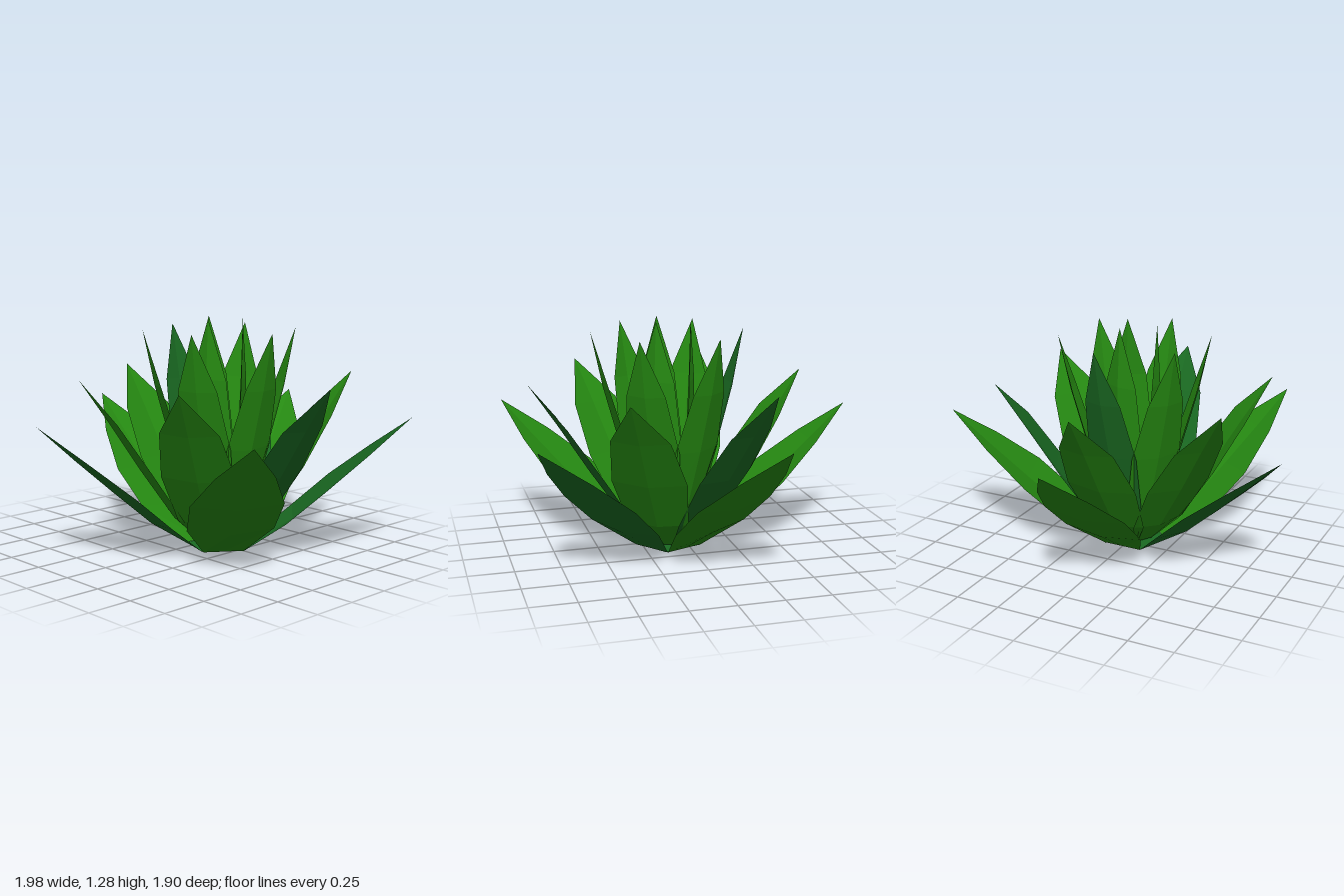
import * as THREE from 'three';

const CENTER_Z = 0.09;
const rad = THREE.MathUtils.degToRad;

// Each row: distance from the centre, height, half width. The last row is the tip.
const rings = [
  {
    name: 'outerLeaf', fold: 0.13, angles: [38.2, 110.8, 179.6, 251.2, 324.4],
    deep: [0, 3],
    rows: [[0.155, 0, 0.113], [0.41, 0.165, 0.235], [0.62, 0.35, 0.245], [0.84, 0.55, 0.15], [1.05, 0.75, 0]],
  },
  {
    name: 'middleLeaf', fold: 0.15, angles: [1.3, 61.8, 121.6, 181, 240.4, 300.8],
    deep: [0, 2],
    rows: [[0.09, 0.01, 0.06], [0.26, 0.17, 0.17], [0.45, 0.45, 0.207], [0.62, 0.72, 0.16], [0.78, 0.96, 0]],
  },
  {
    name: 'innerLeaf', fold: 0.2, angles: [-4.5, 55.5, 115.5, 175.5, 235.5, 295.5],
    deep: [3],
    rows: [[0.05, 0.02, 0.05], [0.17, 0.26, 0.13], [0.27, 0.58, 0.153], [0.36, 0.91, 0.11], [0.425, 1.22, 0]],
  },
  {
    name: 'heartLeaf', fold: 0.25, angles: [45, 165, 285],
    deep: [],
    rows: [[0.03, 0.02, 0.04], [0.1, 0.27, 0.12], [0.14, 0.6, 0.145], [0.145, 0.95, 0.11], [0.125, 1.28, 0]],
  },
];

// A thin leaf folded along its midrib, pointing towards +z
function leafGeometry(rows, fold) {
  const positions = [];
  const index = [];
  rows.forEach(([r, y, half], i) => {
    const a = rows[Math.max(i - 1, 0)];
    const b = rows[Math.min(i + 1, rows.length - 1)];
    const length = Math.hypot(b[0] - a[0], b[1] - a[1]);
    // Edges lift along the normal that faces the plant's centre
    const lift = i === 0 ? 0 : (half * fold) / length;
    const edgeY = y + (b[0] - a[0]) * lift;
    const edgeZ = r - (b[1] - a[1]) * lift;
    positions.push(-half, edgeY, edgeZ, 0, y, r, half, edgeY, edgeZ);
    if (i === 0) return;
    for (let c = 0; c < 2; c++) {
      const p = (i - 1) * 3 + c;
      const q = p + 3;
      if (i < rows.length - 1) index.push(p, p + 1, q + 1, p, q + 1, q);
      else index.push(p, p + 1, i * 3 + 1);
    }
  });
  const geometry = new THREE.BufferGeometry();
  geometry.setAttribute('position', new THREE.Float32BufferAttribute(positions, 3));
  geometry.setIndex(index);
  geometry.computeVertexNormals();
  return geometry;
}

export function createModel() {
  const model = new THREE.Group();
  model.name = 'succulent';
  const material = (color) =>
    new THREE.MeshStandardMaterial({ color, flatShading: true, side: THREE.DoubleSide });
  const green = material(0x268a12);
  const deepGreen = material(0x1a6a22);

  // Rosette of leaf rings, steeper and taller towards the heart
  for (const ring of rings) {
    const geometry = leafGeometry(ring.rows, ring.fold);
    ring.angles.forEach((angle, i) => {
      const leaf = new THREE.Mesh(geometry, ring.deep.includes(i) ? deepGreen : green);
      leaf.name = ring.name;
      leaf.position.z = CENTER_Z;
      leaf.rotation.y = rad(angle);
      model.add(leaf);
    });
  }

  // Flat five-sided foot that joins the outer leaves
  const foot = new THREE.Mesh(new THREE.CircleGeometry(0.19, 5, Math.PI / 2), deepGreen);
  foot.name = 'foot';
  foot.rotation.x = Math.PI / 2;
  foot.position.set(0, 0, CENTER_Z);
  model.add(foot);

  return model;
}
